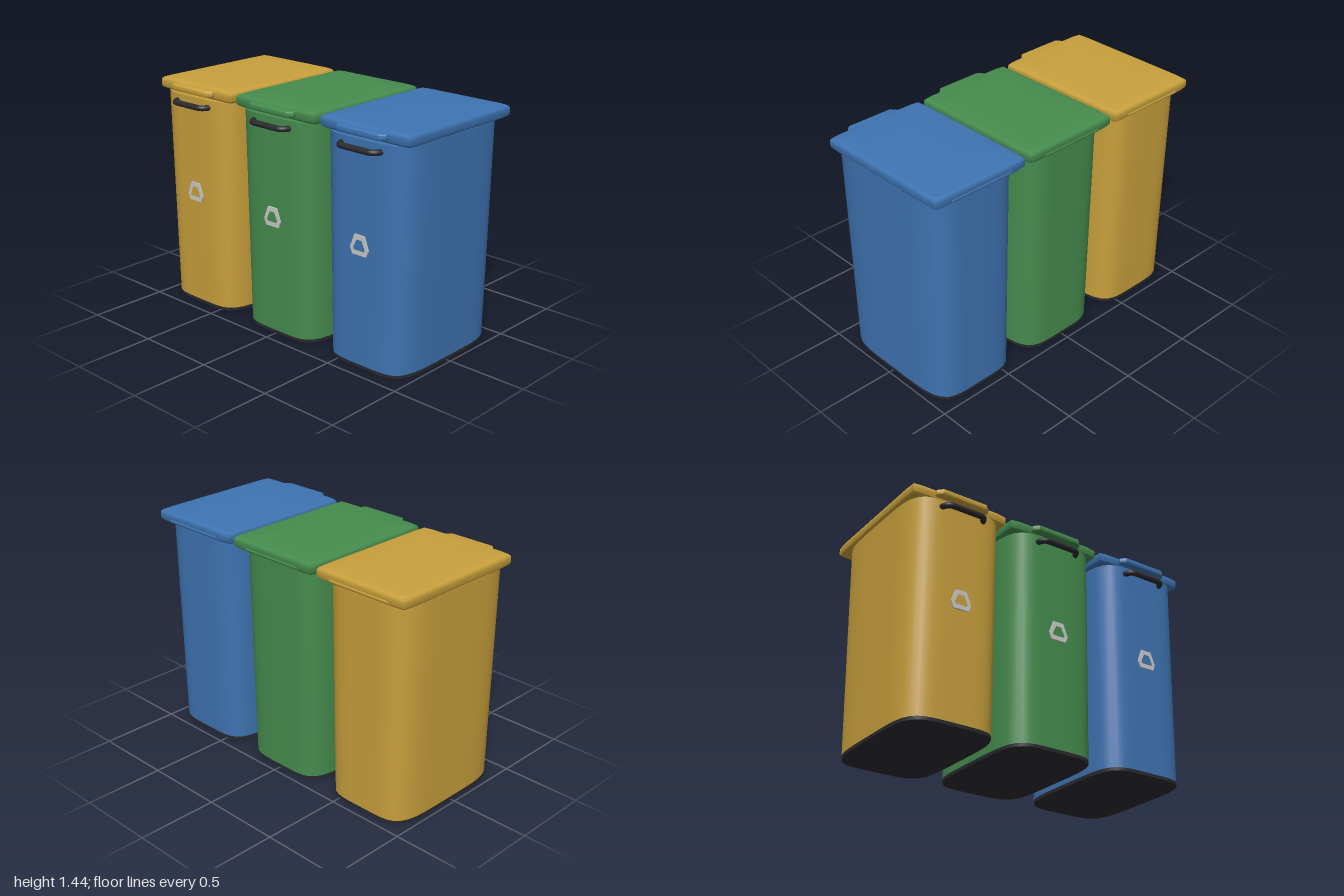
import * as THREE from 'three';
import { toCreasedNormals } from 'three/addons/utils/BufferGeometryUtils.js';

const SIDES = 64;

// Loft through superellipse rings [halfWidth, y, halfDepth], closed at both ends
function loft(rings, power) {
  const pos = [], idx = [];
  for (const [w, y, d] of rings) {
    for (let i = 0; i < SIDES; i++) {
      const a = (i / SIDES) * Math.PI * 2, c = Math.cos(a), s = Math.sin(a);
      const r = (Math.abs(c) ** power + Math.abs(s) ** power) ** (-1 / power);
      pos.push(w * r * c, y, d * r * s);
    }
  }
  const last = rings.length - 1;
  for (let k = 0; k < last; k++) {
    for (let i = 0; i < SIDES; i++) {
      const j = (i + 1) % SIDES, a = k * SIDES + i, b = k * SIDES + j;
      idx.push(a, a + SIDES, b, b, a + SIDES, b + SIDES);
    }
  }
  const bottom = pos.length / 3, top = bottom + 1;
  pos.push(0, rings[0][1], 0, 0, rings[last][1], 0);
  for (let i = 0; i < SIDES; i++) {
    const j = (i + 1) % SIDES;
    idx.push(bottom, i, j, top, last * SIDES + j, last * SIDES + i);
  }
  const g = new THREE.BufferGeometry();
  g.setAttribute('position', new THREE.Float32BufferAttribute(pos, 3));
  g.setIndex(idx);
  return toCreasedNormals(g, 0.7);
}

// Lid: rounded rim rising to a very shallow dome
function lidGeometry() {
  const w = 0.3225, d = 0.4525, r = 0.024, y0 = 1.355, y1 = 1.428, rings = [];
  for (let i = 0; i <= 5; i++) {
    const a = (i / 5) * Math.PI / 2, inset = r * (1 - Math.sin(a));
    rings.push([w - inset, y0 + r * (1 - Math.cos(a)), d - inset]);
  }
  for (let i = 0; i <= 5; i++) {
    const a = (i / 5) * Math.PI / 2, inset = r * (1 - Math.cos(a));
    rings.push([w - inset, y1 - r * (1 - Math.sin(a)), d - inset]);
  }
  for (const t of [0.75, 0.5, 0.25, 0.05]) {
    rings.push([(w - r) * t, y1 + 0.008 * (1 - t * t), (d - r) * t]);
  }
  return loft(rings, 40);
}

// Triangular ring with cut corners
function emblemGeometry() {
  const outer = [[-0.035, 0.06], [0.035, 0.06], [0.066, -0.02], [0.05, -0.058], [-0.05, -0.058], [-0.066, -0.02]];
  const inner = [[-0.018, 0.032], [0.018, 0.032], [0.042, -0.018], [0.036, -0.03], [-0.036, -0.03], [-0.042, -0.018]];
  const points = (list) => list.map(([x, y]) => new THREE.Vector2(x, y));
  const shape = new THREE.Shape(points(outer));
  shape.holes.push(new THREE.Path(points(inner)));
  return new THREE.ExtrudeGeometry(shape, { depth: 0.009, bevelEnabled: false });
}

// Bar with rounded edges and tapered ends, drawn in plan
function lipGeometry() {
  const s = new THREE.Shape();
  s.moveTo(-0.165, -0.39);
  s.lineTo(-0.165, -0.428);
  s.lineTo(-0.142, -0.452);
  s.lineTo(0.142, -0.452);
  s.lineTo(0.165, -0.428);
  s.lineTo(0.165, -0.39);
  const g = new THREE.ExtrudeGeometry(s, {
    depth: 0.018, bevelThickness: 0.011, bevelSize: 0.011, bevelSegments: 3,
  });
  g.rotateX(-Math.PI / 2);
  return toCreasedNormals(g, 0.7);
}

function handleGeometry() {
  const path = new THREE.CurvePath();
  const v = (x, z) => new THREE.Vector3(x, 0, z);
  path.add(new THREE.LineCurve3(v(-0.145, 0.41), v(-0.134, 0.445)));
  path.add(new THREE.QuadraticBezierCurve3(v(-0.134, 0.445), v(-0.122, 0.477), v(-0.09, 0.477)));
  path.add(new THREE.LineCurve3(v(-0.09, 0.477), v(0.09, 0.477)));
  path.add(new THREE.QuadraticBezierCurve3(v(0.09, 0.477), v(0.122, 0.477), v(0.134, 0.445)));
  path.add(new THREE.LineCurve3(v(0.134, 0.445), v(0.145, 0.41)));
  return new THREE.TubeGeometry(path, 48, 0.018, 12);
}

export function createModel() {
  const material = (name, color) => {
    const m = new THREE.MeshStandardMaterial({ color });
    m.name = name;
    return m;
  };
  const dark = material('dark plastic', 0x2b2b30);
  const grey = material('light grey', 0xc8c8c6);
  const colours = [material('yellow', 0xc8a03c), material('green', 0x468c4e), material('blue', 0x3e74b2)];

  const base = loft([[0.294, 0, 0.434], [0.295, 0.02, 0.435]], 5);
  const body = loft([[0.295, 0.02, 0.435], [0.31, 1.355, 0.45]], 5);
  const lid = lidGeometry(), lip = lipGeometry();
  const handle = handleGeometry(), emblem = emblemGeometry();
  const hinge = new THREE.CylinderGeometry(0.012, 0.012, 0.42, 16).rotateZ(Math.PI / 2);

  const model = new THREE.Group();
  model.name = 'recyclingBins';
  colours.forEach((colour, i) => {
    const bin = new THREE.Group();
    bin.name = colour.name + 'Bin';
    bin.position.x = (i - 1) * 0.676;
    const add = (name, geometry, mat, y = 0, z = 0) => {
      const mesh = new THREE.Mesh(geometry, mat);
      mesh.name = name;
      mesh.position.set(0, y, z);
      bin.add(mesh);
    };
    add('base', base, dark, 0, -0.015);
    add('body', body, colour, 0, -0.015);
    add('lid', lid, colour, 0, -0.038);
    add('lidLip', lip, colour, 1.386, 0);
    add('hinge', hinge, colour, 1.375, -0.482);
    add('handle', handle, dark, 1.31, 0);
    add('emblem', emblem, grey, 0.75, 0.429);
    model.add(bin);
  });
  return model;
}
